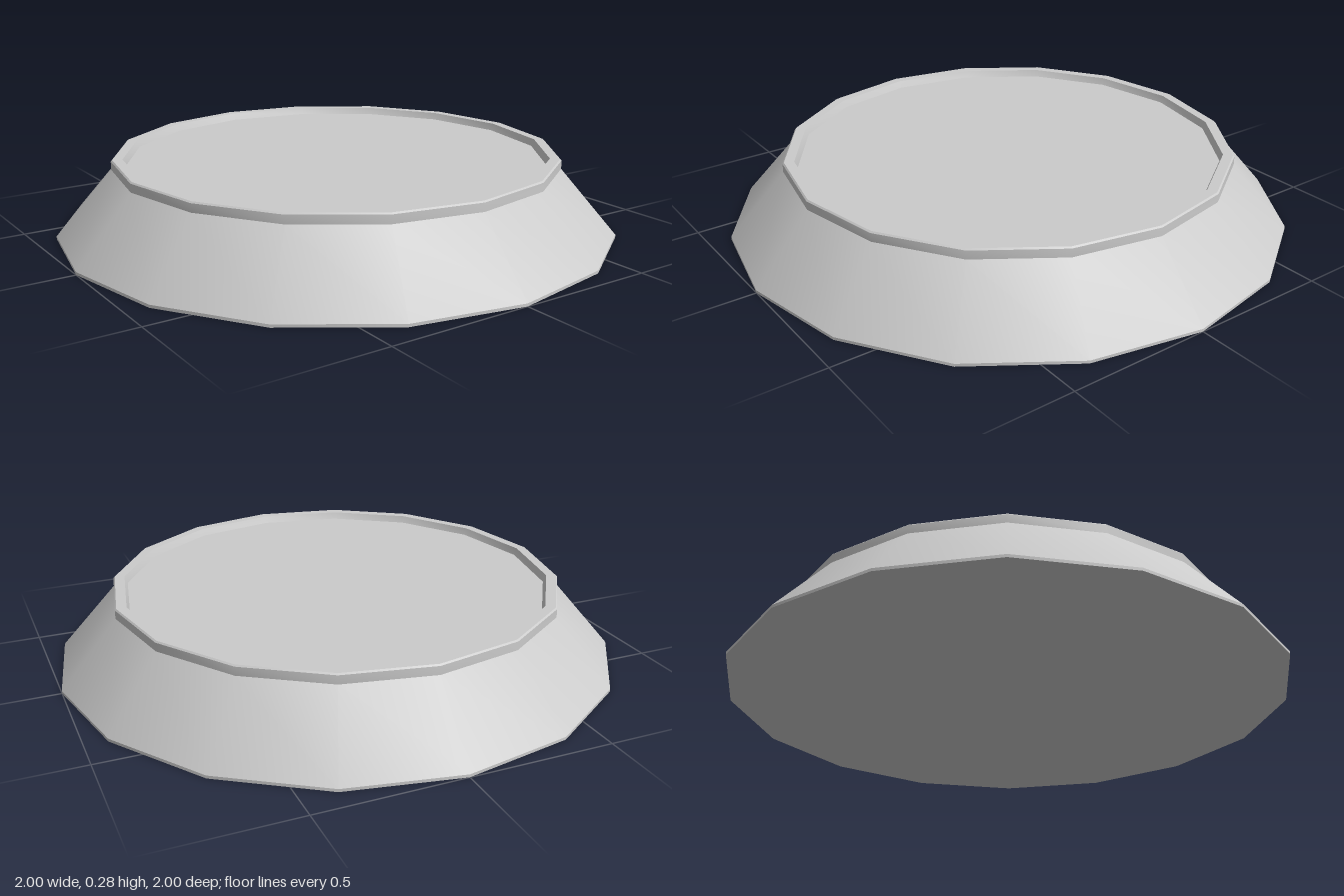
import * as THREE from 'three';
import { toCreasedNormals } from 'three/addons/utils/BufferGeometryUtils.js';

const SIDES = 16;

export function createModel() {
  const group = new THREE.Group();
  group.name = 'shallowDish';
  const material = new THREE.MeshStandardMaterial({ color: 0xcccccc });

  const add = (name, geometry) => {
    const mesh = new THREE.Mesh(geometry, material);
    mesh.name = name;
    group.add(mesh);
    return mesh;
  };

  // Turned band: smooth around the sides, sharp between profile steps
  const band = (name, profile) => {
    const points = profile.map(([r, y]) => new THREE.Vector2(r, y));
    return add(name, toCreasedNormals(new THREE.LatheGeometry(points, SIDES), Math.PI / 6));
  };

  // Flat disc facing up (1) or down (-1)
  const disc = (name, radius, y, facing) => {
    const geometry = new THREE.CircleGeometry(radius, SIDES);
    geometry.rotateX(-facing * Math.PI / 2);
    add(name, geometry).position.y = y;
  };

  // Underside
  disc('base', 1, 0, -1);

  // Thin foot edge and sloping skirt
  band('skirt', [[1, 0], [1, 0.01], [0.8, 0.24]]);

  // Raised lip around the top
  band('rim', [[0.8, 0.24], [0.8, 0.27], [0.795, 0.275], [0.76, 0.275], [0.75, 0.25]]);

  // Recessed top surface
  disc('topPanel', 0.75, 0.25, 1);

  return group;
}
